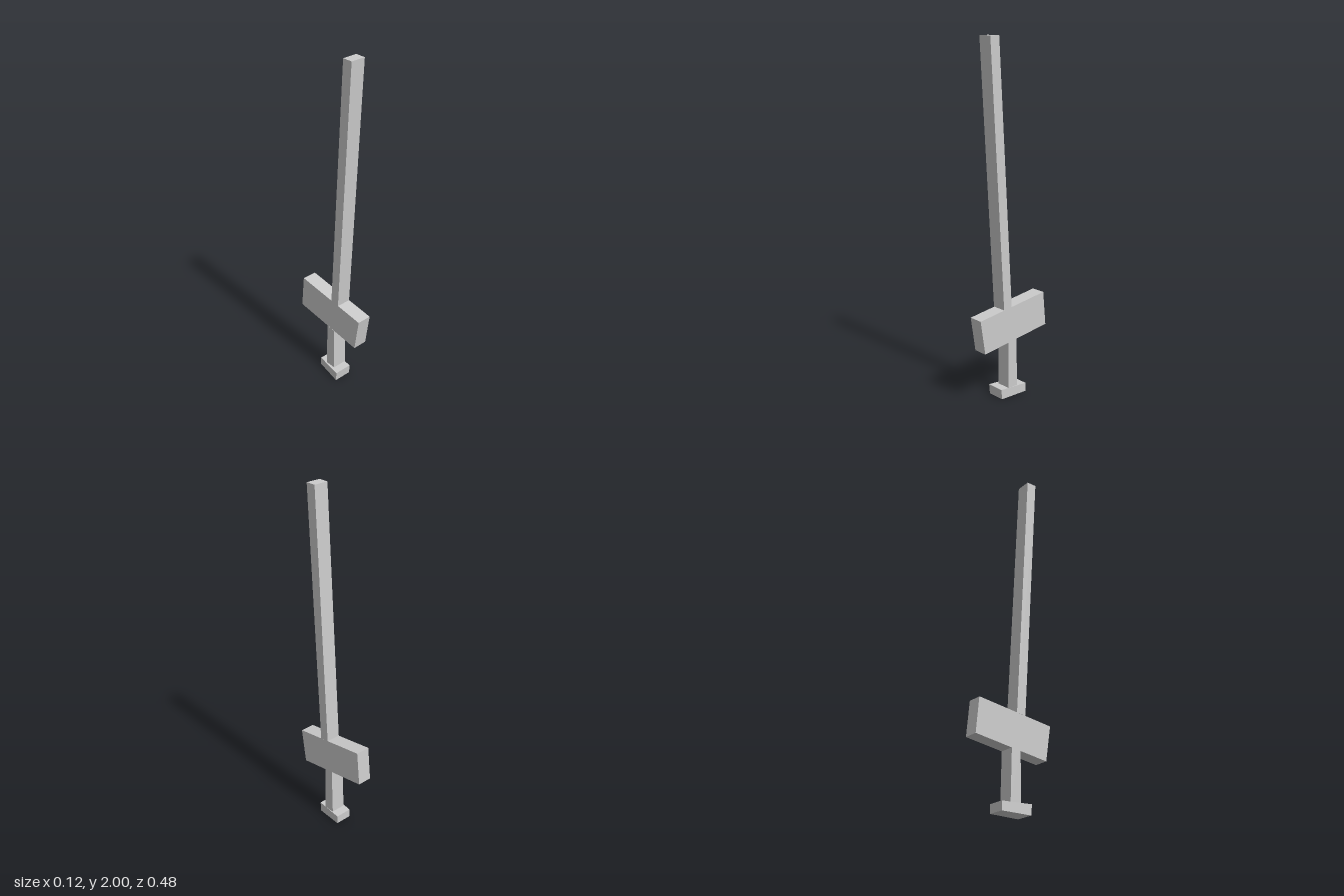
import * as THREE from 'three';

const material = new THREE.MeshStandardMaterial({ color: 0xcccccc, flatShading: true });

// Extrudes a [z, y] side profile across x; each flank may slant along z.
function slab(name, profile, right, left, rightSlant = 0, leftSlant = 0) {
  const shape = new THREE.Shape(profile.map(([z, y]) => new THREE.Vector2(z, y)));
  const geometry = new THREE.ExtrudeGeometry(shape, { depth: 1, bevelEnabled: false });
  geometry.rotateY(-Math.PI / 2); // profile into the zy plane, depth from x = 0 to -1
  const p = geometry.attributes.position;
  for (let i = 0; i < p.count; i++) {
    const z = p.getZ(i);
    p.setX(i, p.getX(i) > -0.5 ? left + leftSlant * z : right + rightSlant * z);
  }
  geometry.computeVertexNormals();
  const mesh = new THREE.Mesh(geometry, material);
  mesh.name = name;
  return mesh;
}

export function createModel() {
  const model = new THREE.Group();
  model.name = 'sword';

  // Long blade leaning forward, ending on the guard's sloping top
  model.add(slab('blade', [[0.073, 0.526], [0.018, 0.533], [0.104, 2], [0.163, 2]], -0.037, 0.049));

  // Broad tilted crossguard
  model.add(slab('guard', [[0.21, 0.305], [-0.241, 0.37], [-0.222, 0.567], [0.241, 0.502]],
    -0.036, 0.049, 0.004, 0.004));

  // Grip, slightly wider at the bottom
  model.add(slab('grip', [[0.042, 0.057], [-0.024, 0.057], [-0.016, 0.338], [0.04, 0.33]], -0.037, 0.049));

  // Twisted, slightly tapered pommel
  model.add(slab('pommel', [[0.085, 0], [-0.077, 0.008], [-0.077, 0.057], [0.09, 0.057]],
    -0.048, 0.053, -0.165, -0.105));

  return model;
}
